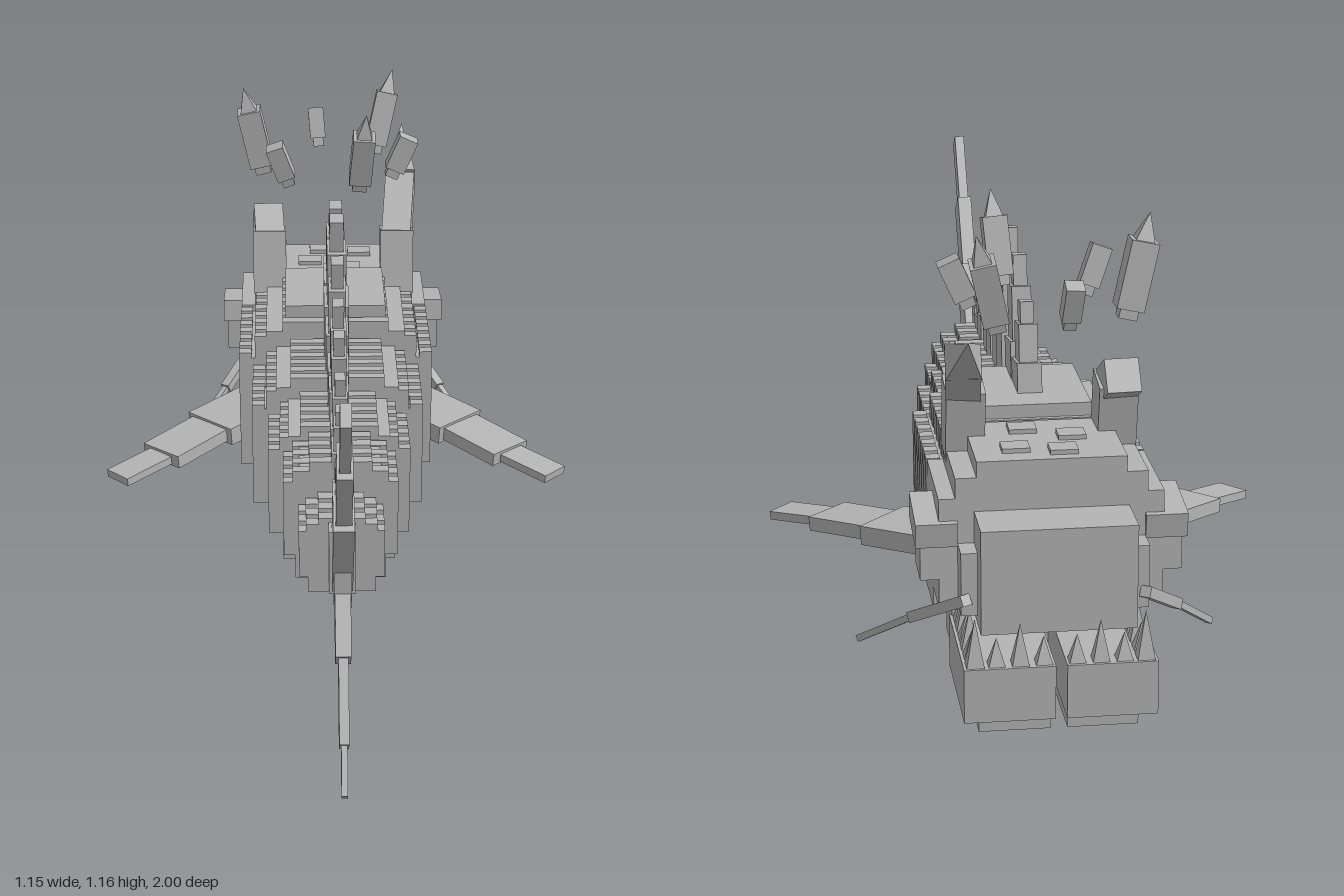
import * as THREE from 'three';

const bone = new THREE.MeshStandardMaterial({ color: 0xb4b4b4 });
bone.name = 'grey bone';
bone.flatShading = true;

const V = (x, y, z) => new THREE.Vector3(x, y, z);

export function createModel() {
  const root = new THREE.Group();
  root.name = 'skeletalSeaBeast';

  const add = (geo, name, parent = root) => {
    const m = new THREE.Mesh(geo, bone);
    m.name = name;
    parent.add(m);
    return m;
  };
  // axis-aligned box from its limits
  const box = (name, x0, x1, y0, y1, z0, z1, parent) => {
    const m = add(new THREE.BoxGeometry(x1 - x0, y1 - y0, z1 - z0), name, parent);
    m.position.set((x0 + x1) / 2, (y0 + y1) / 2, (z0 + z1) / 2);
    return m;
  };
  // turns an object so its z axis runs along a->b and its y axis follows "up"
  const orient = (m, a, b, up) => {
    const z = b.clone().sub(a).normalize();
    const x = up.clone().cross(z).normalize();
    const y = z.clone().cross(x);
    m.quaternion.setFromRotationMatrix(new THREE.Matrix4().makeBasis(x, y, z));
    m.position.copy(a).add(b).multiplyScalar(0.5);
    return m;
  };
  const beam = (name, a, b, w, h, up = V(0, 1, 0)) =>
    orient(add(new THREE.BoxGeometry(w, h, a.distanceTo(b)), name), a, b, up);
  const spike = (name, a, b, r, up = V(0, 1, 0)) => {
    const g = new THREE.ConeGeometry(r, a.distanceTo(b), 4, 1).rotateY(Math.PI / 4).rotateX(Math.PI / 2);
    return orient(add(g, name), a, b, up);
  };

  // body sections: [tail end z, head end z, half width, bottom, top]
  const sections = [
    [0.57, 0.41, 0.095, 0.35, 0.53],
    [0.42, 0.23, 0.13, 0.31, 0.6],
    [0.24, 0.01, 0.165, 0.27, 0.61],
    [0.015, -0.26, 0.205, 0.23, 0.64],
    [-0.255, -0.6, 0.24, 0.2, 0.68],
  ];
  let ribCount = 0;
  sections.forEach(([zb, zf, w, y0, y1]) => {
    const h = y1 - y0, mid = y0 + h * 0.5;
    box('bellyPlate', -w * 0.8, w * 0.8, y0, y0 + h * 0.25, zf, zb);
    box('flank', -w, w, y0 + h * 0.2, mid, zf, zb);
    box('bodyCore', -w + 0.022, w - 0.022, mid, y1 - h * 0.2, zf, zb);
    box('backCore', -w * 0.72, w * 0.72, mid, y1 - 0.025, zf, zb);
    // ribs arch over the back and hang down the sides by uneven amounts
    const n = Math.round((zb - zf) / 0.046), step = (zb - zf) / n;
    for (let i = 0; i < n; i++, ribCount++) {
      const z1 = zb - i * step, z0 = z1 - step * 0.62;
      const low = mid - [0.0, 0.05, 0.02, 0.07][ribCount % 4] * h * 2;
      box('ribTop', -w * 0.55, w * 0.55, y1 - 0.08, y1, z0, z1);
      box('ribShoulder', -w * 0.84, w * 0.84, y1 - h * 0.3, y1 - h * 0.08, z0, z1);
      for (const s of [-1, 1]) {
        const a = s * (w - 0.03), b = s * (w + 0.001);
        box('ribSide', Math.min(a, b), Math.max(a, b), low, y1 - h * 0.17, z0, z1);
      }
    }
  });
  box('backRidge', -0.125, 0.125, 0.66, 0.71, -0.57, -0.29);

  // head with stepped skull and snout
  box('throat', -0.2, 0.2, 0.2, 0.36, -0.71, -0.59);
  box('throatPlate', -0.24, 0.24, 0.3, 0.36, -0.71, -0.59);
  box('skull', -0.24, 0.24, 0.35, 0.6, -0.84, -0.59);
  box('skullUpper', -0.205, 0.205, 0.59, 0.645, -0.84, -0.59);
  box('skullTop', -0.16, 0.16, 0.64, 0.68, -0.84, -0.59);
  box('snout', -0.165, 0.165, 0.34, 0.57, -0.96, -0.83);
  box('palate', -0.2, 0.2, 0.36, 0.5, -0.9, -0.83);
  [[-0.06, -0.7], [0.04, -0.65], [0.07, -0.77], [-0.03, -0.79]].forEach(([x, z]) =>
    box('skullPlate', x - 0.03, x + 0.03, 0.67, 0.69, z - 0.025, z + 0.025));

  // lower jaw in two halves, with teeth
  for (const s of [-1, 1]) {
    const side = (name, a, b, ...r) => box(name, Math.min(s * a, s * b), Math.max(s * a, s * b), ...r);
    side('lowerJaw', 0.012, 0.205, 0.16, 0.28, -1, -0.7);
    side('chin', 0.018, 0.17, 0.12, 0.165, -0.96, -0.7);
    for (let i = 0; i < 6; i++) {
      const z = -0.735 - i * 0.048, top = 0.34 + (i % 2) * 0.025 + (i === 5 ? 0.02 : 0);
      spike('sideTooth', V(s * 0.18, 0.275, z), V(s * 0.18, top, z), 0.028, V(0, 0, 1));
    }
    for (let i = 0; i < 3; i++)
      spike('frontTooth', V(s * (0.035 + i * 0.05), 0.275, -0.975),
        V(s * (0.035 + i * 0.05), 0.34 + (i % 2) * 0.03, -0.975), 0.027, V(0, 0, 1));

    // brow and eye socket
    side('brow', 0.2, 0.29, 0.505, 0.56, -0.85, -0.7).rotation.x = -0.14;
    side('eyeSocket', 0.2, 0.28, 0.42, 0.51, -0.84, -0.74);

    // barbels
    const p = [V(s * 0.19, 0.4, -0.91), V(s * 0.29, 0.3, -0.75), V(s * 0.395, 0.19, -0.6)];
    beam('barbelBase', p[0], p[1], 0.024, 0.024);
    beam('barbelTip', p[1], p[2], 0.015, 0.015);

    // pectoral fins
    const f = [V(s * 0.17, 0.375, -0.49), V(s * 0.32, 0.355, -0.345), V(s * 0.44, 0.335, -0.22), V(s * 0.545, 0.318, -0.125)];
    beam('finBase', f[0], f[1], 0.16, 0.045);
    beam('finMiddle', f[1], f[2], 0.125, 0.033);
    beam('finTip', f[2], f[3], 0.08, 0.02);

    // horns, one broken short
    const h = [V(s * 0.165, 0.63, -0.62), V(s * 0.165, 0.79, -0.65), V(s * 0.18, 0.88, -0.78), V(s * 0.19, 0.98, -0.97)];
    beam('hornBase', h[0], h[1], 0.085, 0.095, V(0, 0, 1));
    if (s > 0) {
      beam('hornMiddle', V(0.165, 0.765, -0.63), h[2], 0.075, 0.075);
      spike('hornTip', h[2], h[3], 0.054);
    } else beam('hornStump', V(-0.165, 0.765, -0.63), V(-0.17, 0.815, -0.71), 0.075, 0.075);
  }

  // stacked spines leaning back: [top z, top y, base y, size]
  const spine = (z, yTop, yBase, k, xs = 0) => {
    const d = yTop - yBase, lean = Math.abs(d) * 0.16;
    const at = t => V(xs, yBase + d * t, z - lean * (1 - t));
    const up = V(1, 0, 0);
    beam('spineBase', at(-0.1), at(0.45), 0.1 * k, 0.055 * k, up);
    beam('spineMiddle', at(0.45), at(0.8), 0.075 * k, 0.042 * k, up);
    beam('spineTip', at(0.8), at(1), 0.046 * k, 0.03 * k, up);
  };
  [[0.505, 0.65, 0.5, 0.7], [0.405, 0.725, 0.55, 0.75], [0.325, 0.77, 0.56, 0.8],
    [0.19, 0.82, 0.58, 0.85], [0.115, 0.87, 0.58, 0.9], [-0.035, 0.92, 0.6, 1],
    [-0.125, 0.995, 0.61, 1.1], [-0.29, 0.975, 0.63, 1.05], [-0.41, 0.9, 0.66, 1]].forEach(a => spine(...a));
  for (const z of [0.4, 0.325]) spine(z, z > 0.35 ? 0.21 : 0.18, 0.34, 0.7);

  // tail root and two flukes
  const X = V(1, 0, 0);
  box('tailRoot', -0.03, 0.03, 0.37, 0.52, 0.55, 0.62);
  box('tailHub', -0.02, 0.02, 0.37, 0.47, 0.58, 0.69);
  const u = t => V(0, 0.42 + 0.53 * t, 0.59 + 0.385 * t);
  beam('upperFlukeBase', u(0), u(0.42), 0.12, 0.046, X);
  beam('upperFlukeMiddle', u(0.42), u(0.72), 0.09, 0.035, X);
  beam('upperFlukeTip', u(0.72), u(1), 0.058, 0.024, X);
  const l = t => V(0, 0.42 - 0.4 * t, 0.61 + 0.295 * t);
  beam('lowerFlukeBase', l(0), l(0.4), 0.11, 0.035, X);
  beam('lowerFlukeMiddle', l(0.4), l(0.78), 0.085, 0.022, X);
  beam('lowerFlukeTip', l(0.78), l(1), 0.05, 0.014, X);

  // floating shards: [x, y, z, height, width, tilt about z, tilt about x, spiked]
  [[-0.2, 1.03, -0.68, 0.15, 0.06, 0.22, 0.05, 1], [-0.135, 1.01, -0.53, 0.09, 0.045, 0.35, 0.15, 0],
    [-0.04, 1.02, -0.84, 0.08, 0.04, 0.08, -0.3, 0], [0.07, 1.04, -0.455, 0.13, 0.055, -0.08, 0.25, 1],
    [0.13, 1.04, -0.81, 0.14, 0.055, -0.22, -0.2, 1], [0.175, 1.01, -0.6, 0.09, 0.05, -0.42, 0, 0],
  ].forEach(([x, y, z, h, w, rz, rx, spiked]) => {
    const g = new THREE.Group();
    g.name = 'floatingShard';
    g.position.set(x, y, z);
    g.rotation.set(rx, 0, rz);
    root.add(g);
    box('shardBlock', -w / 2, w / 2, -h / 2, h / 2, -w / 2, w / 2, g);
    box('shardFoot', -w / 3, w / 3, -h / 2 - 0.022, -h / 2, -w / 3, w / 3, g);
    if (spiked) {
      const c = add(new THREE.ConeGeometry(w * 0.5, 0.062, 4).rotateY(Math.PI / 4), 'shardPoint', g);
      c.position.y = h / 2 + 0.03;
    }
  });
  return root;
}
